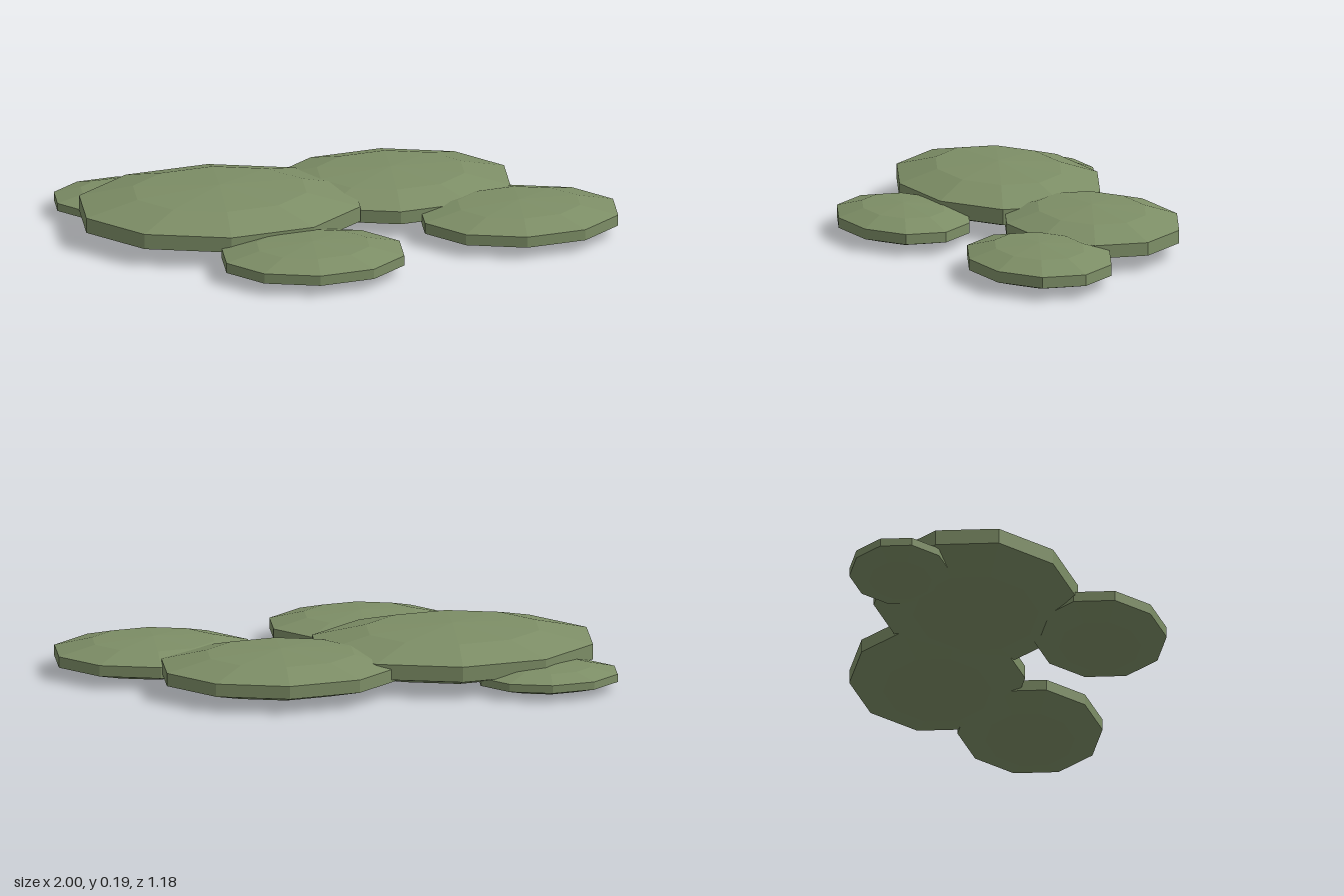
import * as THREE from 'three';

// Cluster of flattened, faceted leaf pads: centre (x, y, z) and radii (rx, ry, rz)
const PADS = [
  { name: 'largePad', pos: [-0.43, 0.095, -0.09], radii: [0.553, 0.092, 0.39] },
  { name: 'backPad', pos: [0.215, 0.082, -0.27], radii: [0.47, 0.078, 0.336] },
  { name: 'leftPad', pos: [0.647, 0.066, 0.04], radii: [0.39, 0.066, 0.277] },
  { name: 'frontPad', pos: [-0.14, 0.061, 0.343], radii: [0.359, 0.061, 0.255] },
  { name: 'smallBackPad', pos: [-0.75, 0.049, -0.344], radii: [0.276, 0.047, 0.195] },
];

export function createModel() {
  const group = new THREE.Group();
  group.name = 'foliagePads';

  const leafGreen = new THREE.MeshStandardMaterial({ color: 0x7d8e66, flatShading: true });
  leafGreen.name = 'leafGreen';

  for (const { name, pos, radii } of PADS) {
    // ten-sided low-poly sphere with a corner on the z axis, squashed into a pad
    const geometry = new THREE.SphereGeometry(1, 10, 5, Math.PI / 2);
    geometry.scale(...radii);
    const pad = new THREE.Mesh(geometry, leafGreen);
    pad.name = name;
    pad.position.set(...pos);
    group.add(pad);
  }
  return group;
}
